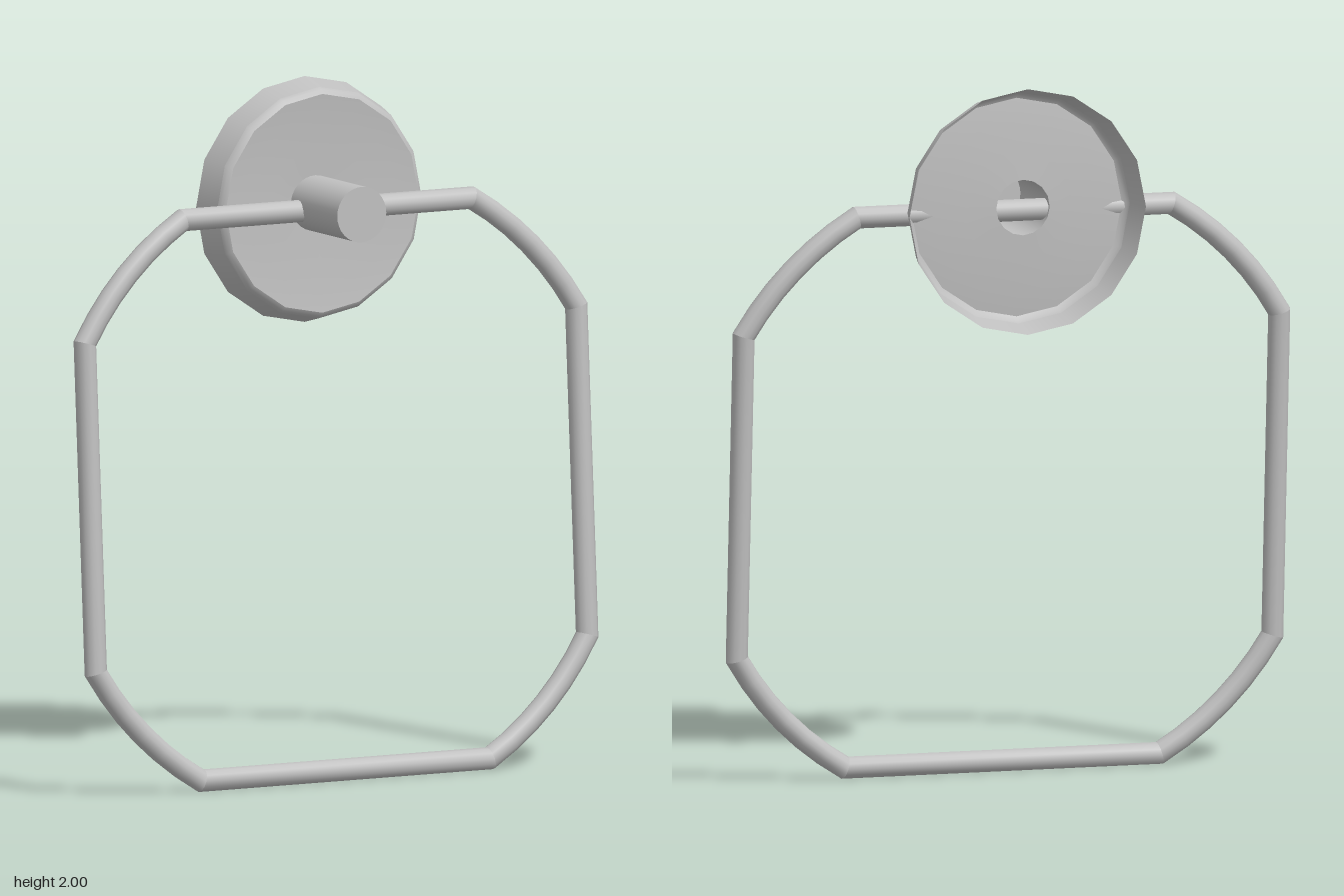
import * as THREE from 'three';

const metal = new THREE.MeshStandardMaterial({ color: 0xc0c0c0, side: THREE.DoubleSide });
metal.name = 'brushed metal';

const MOUNT_Y = 1.647;   // height of the wall mount
const POST_X = -0.014;   // the post sits slightly off centre
const POST_R = 0.08;

function addMesh(parent, name, geometry) {
  const mesh = new THREE.Mesh(geometry, metal);
  mesh.name = name;
  parent.add(mesh);
  return mesh;
}

// Sixteen-sided lathe turned to face +z; profile is [radius, z]
function turned(profile) {
  const geo = new THREE.LatheGeometry(profile.map(([r, z]) => new THREE.Vector2(r, z)), 16);
  return geo.rotateX(Math.PI / 2);
}

// Sweep a round section along part of a closed planar path, with mitred joints
function sweep(path, from, to, radius, sides) {
  const n = path.length, positions = [], index = [];
  const at = (i) => path[(i + n) % n];
  for (let i = from; i <= to; i++) {
    const p = at(i);
    const d0 = p.clone().sub(at(i - 1)).normalize();
    const d1 = at(i + 1).clone().sub(p).normalize();
    const n0 = new THREE.Vector2(d0.y, -d0.x), n1 = new THREE.Vector2(d1.y, -d1.x);
    const miter = n0.clone().add(n1).normalize();
    miter.multiplyScalar(1 / miter.dot(n0));
    for (let j = 0; j < sides; j++) {
      const a = (j / sides) * Math.PI * 2, c = Math.cos(a) * radius;
      positions.push(p.x + miter.x * c, p.y + miter.y * c, Math.sin(a) * radius);
    }
  }
  for (let i = 0; i < to - from; i++) {
    for (let j = 0; j < sides; j++) {
      const a = i * sides + j, b = i * sides + (j + 1) % sides;
      index.push(a, a + sides, b, b, a + sides, b + sides);
    }
  }
  const geo = new THREE.BufferGeometry();
  geo.setAttribute('position', new THREE.Float32BufferAttribute(positions, 3));
  // Counter-clockwise path, section turning from outward to +z
  geo.setIndex(index);
  geo.computeVertexNormals();
  return geo;
}

function createMount() {
  const mount = new THREE.Group();
  mount.name = 'wallMount';
  mount.position.y = MOUNT_Y;

  // Hollow cup, open at the back
  addMesh(mount, 'mountWall', turned([[0.354, -0.18], [0.333, -0.095]]));
  addMesh(mount, 'mountBevel', turned([[0.333, -0.095], [0.327, -0.083], [0.315, -0.076]]));

  // Slightly dished face whose hole follows the post
  const face = turned([[0.315, -0.076], [0.25, -0.083], [0.16, -0.088], [POST_R, -0.092]]);
  const p = face.attributes.position;
  for (let i = 0; i < p.count; i++) {
    if (Math.hypot(p.getX(i), p.getY(i)) < 0.1) p.setX(i, p.getX(i) + POST_X);
  }
  addMesh(mount, 'mountFace', face);

  // Hollow post with a flat end
  const back = -0.092, front = 0.18;
  const tube = new THREE.CylinderGeometry(POST_R, POST_R, front - back, 32, 1, true);
  addMesh(mount, 'post', tube.rotateX(Math.PI / 2)).position.set(POST_X, 0, (front + back) / 2);
  addMesh(mount, 'postEnd', new THREE.CircleGeometry(POST_R, 32)).position.set(POST_X, 0, front);
  return mount;
}

function createRing() {
  const ring = new THREE.Group();
  ring.name = 'towelRing';

  // A circle flattened on four sides: each quarter is an arc, joined by straight bars
  const R = 0.93, half = 0.802, steps = 6;
  const start = Math.acos(half / R), end = Math.PI / 2 - start;
  const path = [];
  for (let q = 0; q < 4; q++) {
    for (let s = 0; s <= steps; s++) {
      const a = q * Math.PI / 2 + start + (end - start) * s / steps;
      path.push(new THREE.Vector2(Math.cos(a) * R, Math.sin(a) * R));
    }
  }
  const names = ['top', 'right', 'bottom', 'left'];
  for (let q = 0; q < 4; q++) {
    const first = q * (steps + 1), last = first + steps;
    addMesh(ring, 'ringCorner' + (q + 1), sweep(path, first, last, 0.032, 12));
    addMesh(ring, names[q] + 'Bar', sweep(path, last, last + 1, 0.032, 12));
  }

  // Hangs with its lower edge forward
  ring.position.set(0, 0.834, 0.004);
  ring.rotation.x = -0.068;
  return ring;
}

export function createModel() {
  const model = new THREE.Group();
  model.name = 'towelRingHolder';
  model.add(createMount(), createRing());
  return model;
}
